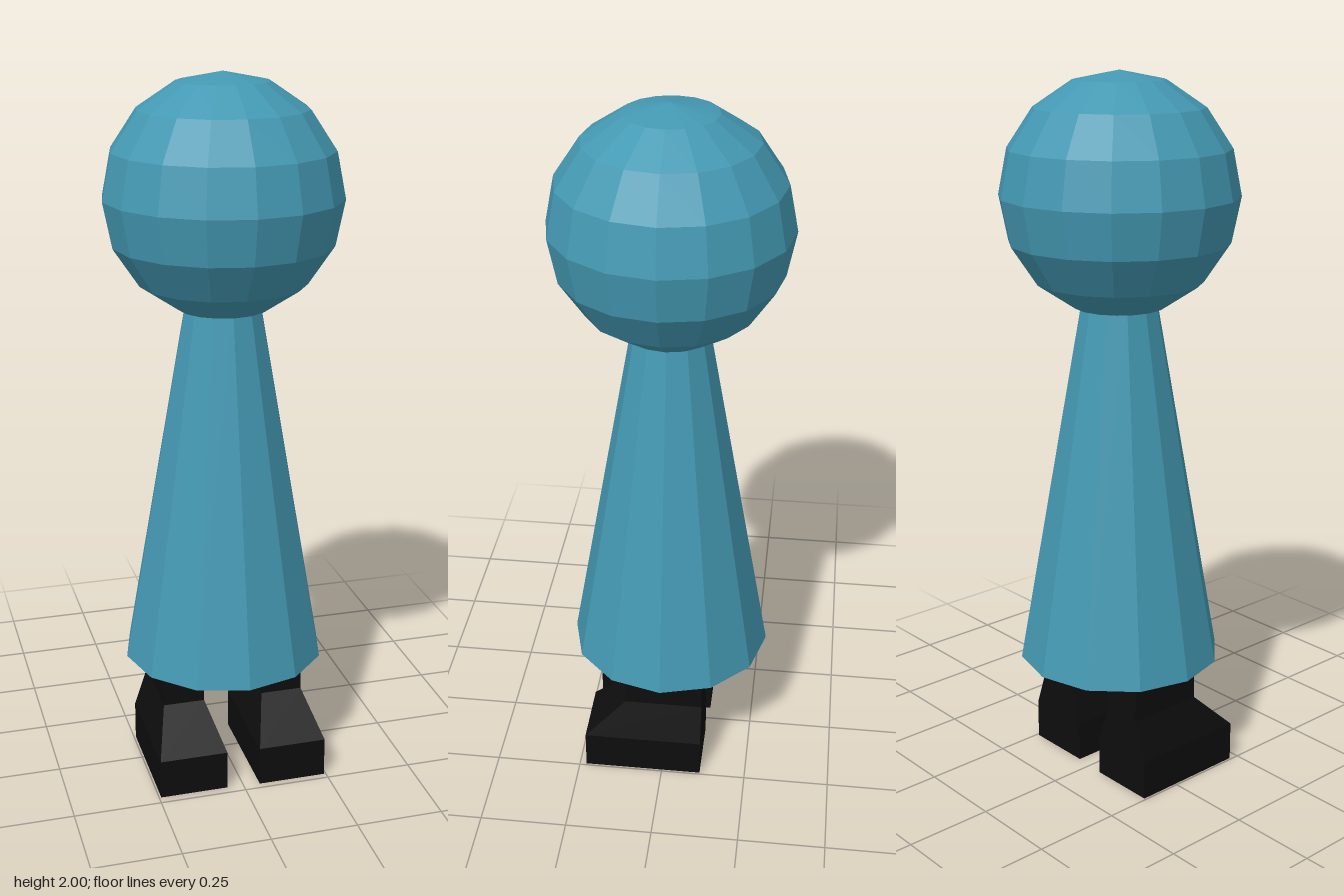
import * as THREE from 'three';

// Four-sided loft through rectangular sections, listed bottom to top
function loft(sections) {
  const pos = [];
  const rings = sections.map(({ y, x0, x1, z0, z1 }) =>
    [[x0, y, z1], [x1, y, z1], [x1, y, z0], [x0, y, z0]]);
  const quad = (a, b, c, d) => pos.push(...a, ...b, ...c, ...a, ...c, ...d);
  for (let i = 0; i < rings.length - 1; i++) {
    for (let k = 0; k < 4; k++) {
      const n = (k + 1) % 4;
      quad(rings[i][k], rings[i][n], rings[i + 1][n], rings[i + 1][k]);
    }
  }
  const [b, t] = [rings[0], rings[rings.length - 1]];
  quad(b[3], b[2], b[1], b[0]);
  quad(t[0], t[1], t[2], t[3]);
  const geometry = new THREE.BufferGeometry();
  geometry.setAttribute('position', new THREE.Float32BufferAttribute(pos, 3));
  geometry.computeVertexNormals();
  return geometry;
}

export function createModel() {
  const model = new THREE.Group();
  const teal = new THREE.MeshStandardMaterial({ color: 0x4499b3, flatShading: true });
  teal.name = 'teal';
  const black = new THREE.MeshStandardMaterial({ color: 0x0d0d0d, flatShading: true });
  black.name = 'black';

  const add = (name, geometry, material, x, y, z) => {
    const mesh = new THREE.Mesh(geometry, material);
    mesh.name = name;
    mesh.position.set(x, y, z);
    model.add(mesh);
  };

  // Faceted ball head
  add('head', new THREE.SphereGeometry(0.327, 16, 8), teal, 0, 1.673, 0);

  // Tapered twelve-sided body, its top tucked into the head
  add('body', new THREE.CylinderGeometry(0.103, 0.289, 1.055, 12), teal, 0, 0.8725, 0);

  // Legs that flare into feet pointing forward
  const leg = loft([
    { y: 0, x0: -0.098, x1: 0.098, z0: -0.118, z1: 0.227 },
    { y: 0.115, x0: -0.098, x1: 0.098, z0: -0.118, z1: 0.227 },
    { y: 0.228, x0: -0.06, x1: 0.06, z0: -0.118, z1: 0.11 },
    { y: 0.36, x0: -0.06, x1: 0.06, z0: -0.118, z1: 0.11 },
  ]);
  add('leftLeg', leg, black, 0.146, 0, 0.003);
  add('rightLeg', leg, black, -0.146, 0, -0.003);

  return model;
}
